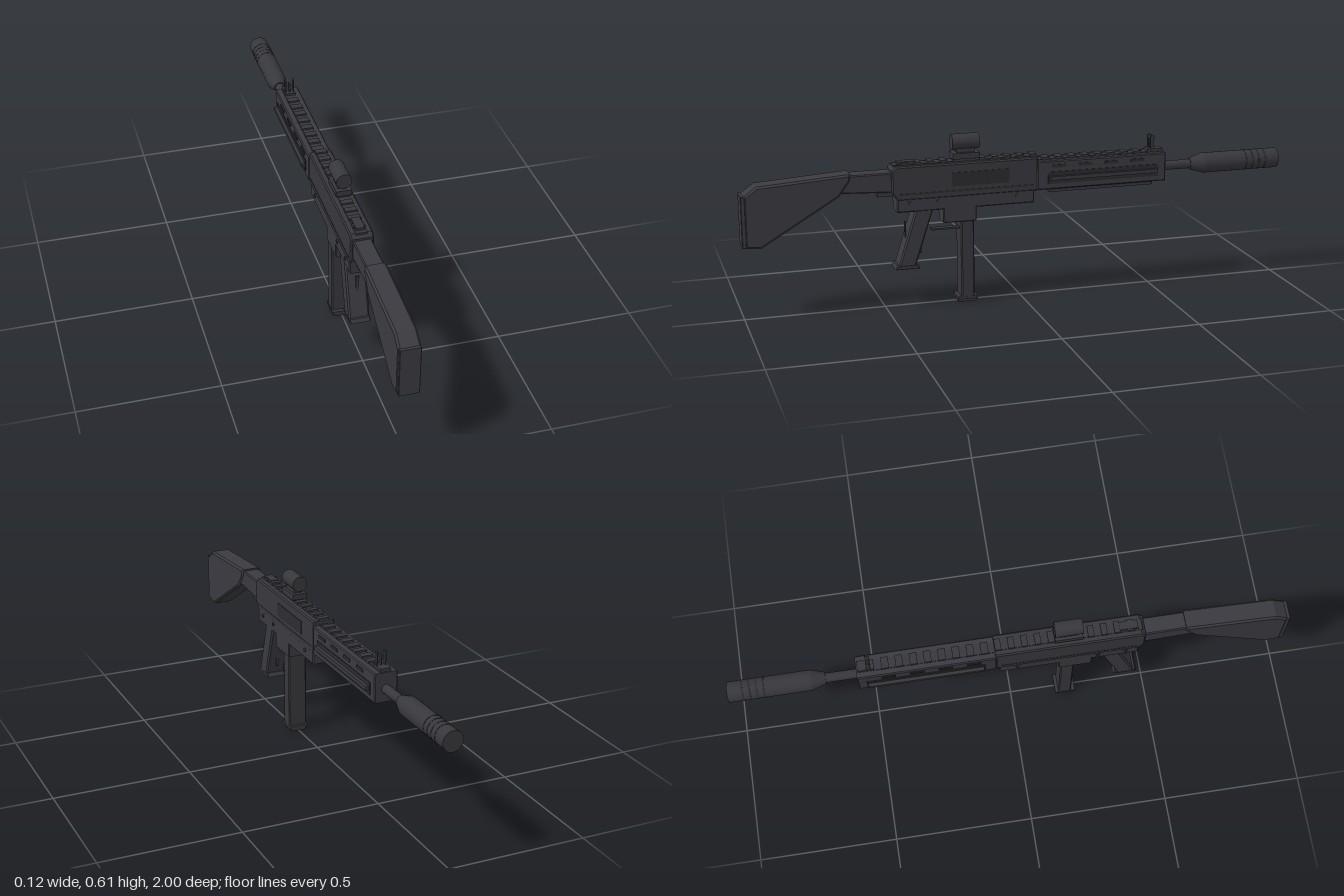
import * as THREE from 'three';

export function createModel() {
  const model = new THREE.Group();
  const mat = (name, color) => {
    const m = new THREE.MeshStandardMaterial({ color });
    m.name = name;
    return m;
  };
  const polymer = mat('dark polymer', 0x3b3a40);
  const metal = mat('dark metal', 0x38373c);
  const recess = mat('recess black', 0x2c2b30);

  const add = (name, geometry, material) => {
    const mesh = new THREE.Mesh(geometry, material);
    mesh.name = name;
    model.add(mesh);
    return mesh;
  };
  // Box given by x, y and z ranges
  const box = (name, material, [x0, x1], [y0, y1], [z0, z1]) => {
    const g = new THREE.BoxGeometry(x1 - x0, y1 - y0, z1 - z0);
    g.translate((x0 + x1) / 2, (y0 + y1) / 2, (z0 + z1) / 2);
    return add(name, g, material);
  };
  const mid = (half) => [-half, half];
  // Side outline of [z, y] points, extruded across x with chamfered edges
  const slab = (name, material, points, half, bevel) => {
    const shape = new THREE.Shape(points.map(([z, y]) => new THREE.Vector2(z, y)));
    const g = new THREE.ExtrudeGeometry(shape, {
      depth: 2 * (half - bevel), bevelEnabled: bevel > 0, bevelThickness: bevel,
      bevelSize: bevel, bevelOffset: -bevel, bevelSegments: 1,
    });
    g.translate(0, 0, bevel - half);
    g.rotateY(-Math.PI / 2);
    return add(name, g, material);
  };
  // Round part along z between z0 and z1
  const rod = (name, material, y, r0, r1, z0, z1, sides = 24) => {
    const g = new THREE.CylinderGeometry(r1, r0, z1 - z0, sides);
    g.rotateX(Math.PI / 2);
    g.translate(0, y, (z0 + z1) / 2);
    return add(name, g, material);
  };

  // Shoulder stock and its neck
  slab('stock', polymer, [[0.99, 0.267], [0.99, 0.45], [0.945, 0.482], [0.62, 0.503],
    [0.62, 0.48], [0.66, 0.425], [0.935, 0.262]], 0.038, 0.007);
  slab('buttPlate', polymer, [[1, 0.267], [1, 0.45], [0.985, 0.45], [0.985, 0.267]], 0.036, 0.002);
  slab('stockNeck', polymer, [[0.66, 0.435], [0.66, 0.497], [0.46, 0.497], [0.46, 0.425]], 0.032, 0.004);
  box('neckCollar', metal, mid(0.026), [0.412, 0.495], [0.45, 0.525]);

  // Receiver
  slab('upperReceiver', metal, [[0.475, 0.425], [0.475, 0.505], [0.46, 0.518], [-0.058, 0.518],
    [-0.058, 0.395], [0.455, 0.395]], 0.041, 0.005);
  slab('lowerReceiver', polymer, [[0.457, 0.352], [0.457, 0.42], [-0.045, 0.42], [-0.045, 0.352]], 0.039, 0.004);
  slab('magazineWell', polymer, [[0.29, 0.302], [0.29, 0.36], [0.17, 0.36], [0.17, 0.302]], 0.039, 0.003);
  box('ejectionPort', recess, [0.036, 0.043], [0.435, 0.485], [0.05, 0.26]);
  for (const s of [-1, 1]) {
    box('receiverSeam', recess, s > 0 ? [0.036, 0.042] : [-0.042, -0.036], [0.415, 0.421], [-0.04, 0.45]);
    for (const z of [0.41, 0.31, 0.02]) {
      const pin = new THREE.CylinderGeometry(0.007, 0.007, 0.005, 12);
      pin.rotateZ(Math.PI / 2).translate(s * 0.041, 0.385, z);
      add('receiverPin', pin, metal);
    }
  }

  // Handguard with side rails, ribs and vents
  slab('handguard', polymer, [[-0.055, 0.397], [-0.055, 0.502], [-0.545, 0.502], [-0.545, 0.397]], 0.043, 0.004);
  box('lowerRail', metal, mid(0.024), [0.382, 0.4], [-0.5, -0.105]);
  for (const s of [-1, 1]) {
    const side = (a, b) => (s > 0 ? [a, b] : [-b, -a]);
    box('sideRail', metal, side(0.04, 0.058), [0.433, 0.447], [-0.51, -0.1]);
    box('sideSlot', recess, side(0.04, 0.046), [0.418, 0.462], [-0.515, -0.095]);
    for (let i = 0; i < 4; i++) {
      const z = -0.46 + i * 0.1;
      box('vent', recess, side(0.04, 0.046), [0.477, 0.488], [z, z + 0.05]);
    }
  }

  // Top rail with teeth
  box('rearTopRail', metal, mid(0.02), [0.51, 0.521], [-0.055, 0.465]);
  box('frontTopRail', metal, mid(0.02), [0.495, 0.505], [-0.54, -0.055]);
  for (let i = 0; i < 11; i++) {
    const z = 0.435 - i * 0.047;
    box('rearRailTooth', metal, mid(0.021), [0.515, 0.527], [z - 0.022, z]);
  }
  for (let i = 0; i < 8; i++) {
    const z = -0.08 - i * 0.05;
    box('frontRailTooth', metal, mid(0.021), [0.5, 0.511], [z - 0.026, z]);
  }

  // Folded rear sight and front sight posts
  box('rearSight', metal, mid(0.015), [0.518, 0.53], [0.385, 0.45]);
  box('frontSightBase', metal, mid(0.019), [0.498, 0.514], [-0.54, -0.482]);
  for (const x of [-0.015, 0, 0.015]) {
    box('frontSightPost', metal, [x - 0.0025, x + 0.0025], [0.51, x ? 0.562 : 0.55], [-0.508, -0.494]);
  }

  // Optic on its mount
  box('opticClamp', metal, mid(0.02), [0.518, 0.534], [0.165, 0.24]);
  box('opticBase', metal, mid(0.028), [0.528, 0.549], [0.153, 0.252]);
  box('opticPillar', metal, mid(0.017), [0.545, 0.57], [0.17, 0.235]);
  rod('opticTube', metal, 0.586, 0.028, 0.028, 0.153, 0.252);

  // Barrel and suppressor
  rod('barrel', metal, 0.443, 0.017, 0.017, -0.68, -0.53, 16);
  rod('suppressorCone', metal, 0.443, 0.037, 0.021, -0.705, -0.655);
  rod('suppressorBody', metal, 0.443, 0.037, 0.037, -1, -0.705);
  for (let i = 0; i < 4; i++) {
    const z = -0.95 + i * 0.025;
    rod('suppressorRing', recess, 0.443, 0.0378, 0.0378, z, z + 0.006);
  }

  // Pistol grip
  slab('grip', polymer, [[0.39, 0.36], [0.325, 0.36], [0.393, 0.15], [0.455, 0.15]], 0.037, 0.006);
  slab('gripCap', polymer, [[0.466, 0.142], [0.46, 0.157], [0.385, 0.157], [0.378, 0.142]], 0.037, 0.003);

  // Trigger and guard
  box('triggerGuard', metal, mid(0.012), [0.271, 0.277], [0.22, 0.328]);
  box('trigger', metal, mid(0.006), [0.19, 0.3], [0.366, 0.37]);
  box('gripBackStrip', metal, mid(0.006), [0.245, 0.31], [0.42, 0.424]);

  // Magazine
  slab('magazine', metal, [[0.226, 0.015], [0.226, 0.32], [0.178, 0.32], [0.178, 0.015]], 0.035, 0.004);
  box('magazineFloor', metal, mid(0.036), [0.011, 0.021], [0.166, 0.24]);
  box('magazineFoot', metal, mid(0.027), [0, 0.012], [0.17, 0.236]);

  return model;
}
